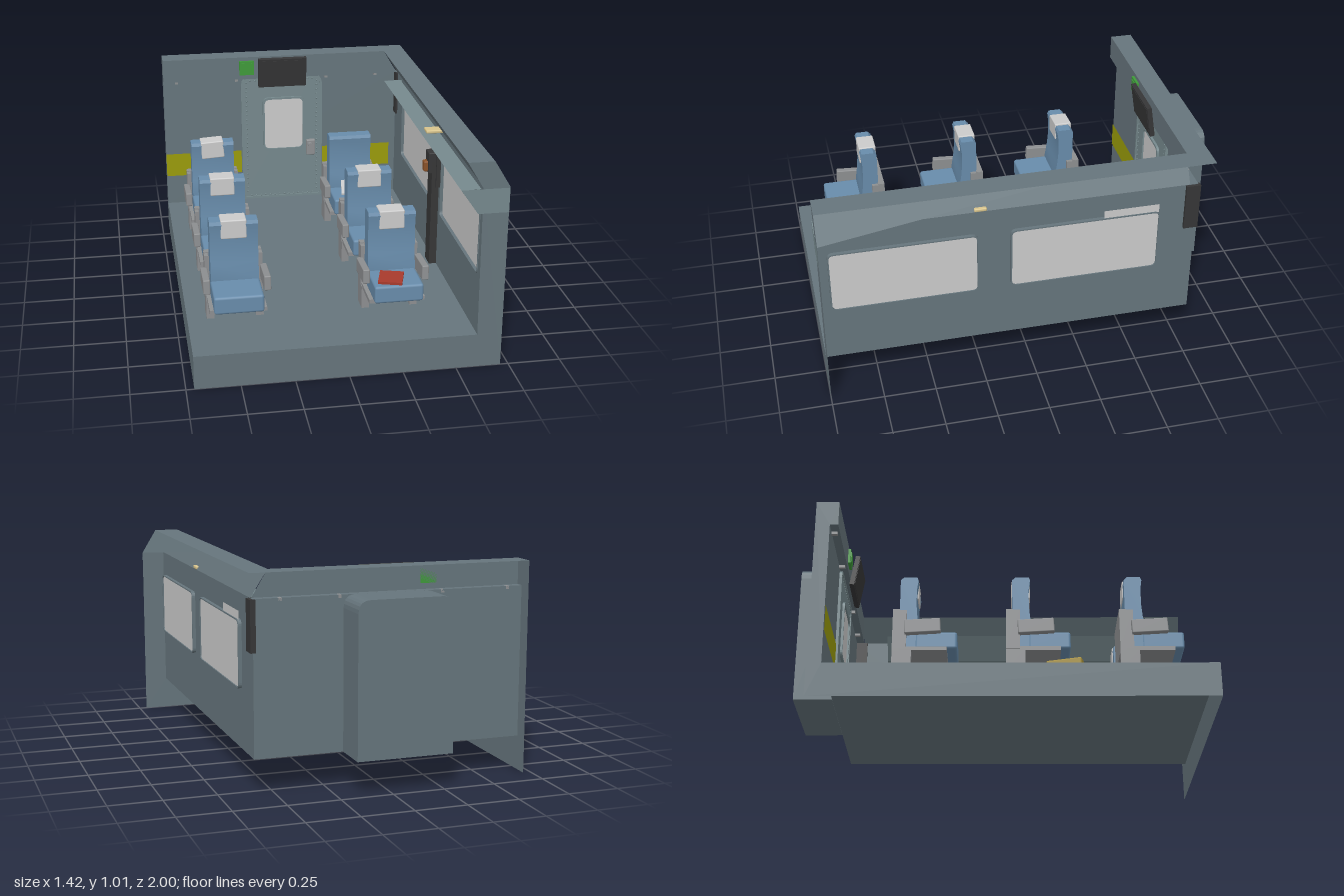
import * as THREE from 'three';
import { RoundedBoxGeometry } from 'three/addons/geometries/RoundedBoxGeometry.js';
import { mergeVertices, toCreasedNormals } from 'three/addons/utils/BufferGeometryUtils.js';

const mat = (color) => new THREE.MeshStandardMaterial({ color, side: THREE.DoubleSide });
const M = {
  shell: mat(0x66757c), panel: mat(0x76898d), grey: mat(0x8d8f91), blue: mat(0x688cab),
  white: mat(0xcccccc), black: mat(0x363637), yellow: mat(0x9a9c0a), bag: mat(0xa8913a),
  red: mat(0xa83a2c), green: mat(0x3f9a3a), tan: mat(0xd8c48c), orange: mat(0x8a5228),
};
const WALL = 0.595; // inner face of the side wall
const BACK = -0.81; // inner face of the back wall

function mesh(parent, name, geo, m, x = 0, y = 0, z = 0) {
  const o = new THREE.Mesh(geo, m);
  o.name = name;
  o.position.set(x, y, z);
  parent.add(o);
  return o;
}

// Box given by its limits on each axis
function box(parent, name, m, x0, x1, y0, y1, z0, z1, r = 0) {
  const s = [x1 - x0, y1 - y0, z1 - z0];
  const geo = r ? new RoundedBoxGeometry(...s, 2, r) : new THREE.BoxGeometry(...s);
  return mesh(parent, name, geo, m, (x0 + x1) / 2, (y0 + y1) / 2, (z0 + z1) / 2);
}

const poly = (pts) => new THREE.Shape(pts.map((p) => new THREE.Vector2(...p)));

// Rounded rectangle; rb is the radius of the bottom corners
function roundRect(x0, x1, y0, y1, r, rb = r, C = THREE.Shape) {
  const s = new C();
  s.moveTo(x0 + rb, y0).lineTo(x1 - rb, y0);
  if (rb) s.quadraticCurveTo(x1, y0, x1, y0 + rb);
  s.lineTo(x1, y1 - r).quadraticCurveTo(x1, y1, x1 - r, y1);
  s.lineTo(x0 + r, y1).quadraticCurveTo(x0, y1, x0, y1 - r);
  s.lineTo(x0, y0 + rb);
  if (rb) s.quadraticCurveTo(x0, y0, x0 + rb, y0);
  return s;
}

// Moves every vertex by a rule (x, y, z) -> [x, y, z]
function remap(geo, rule) {
  const p = geo.attributes.position;
  for (let i = 0; i < p.count; i++) p.setXYZ(i, ...rule(p.getX(i), p.getY(i), p.getZ(i)));
  geo.computeVertexNormals();
  return geo;
}

const extrude = (shape, depth) => new THREE.ExtrudeGeometry(shape, { depth, bevelEnabled: false, curveSegments: 6 });

// Surface swept along z from an (x, y) profile
function sweep(parent, name, m, pts, z0, z1) {
  const v = [], idx = [];
  pts.forEach(([x, y], i) => {
    v.push(x, y, z0, x, y, z1);
    if (i) idx.push(2 * i - 2, 2 * i - 1, 2 * i, 2 * i, 2 * i - 1, 2 * i + 1);
  });
  const g = new THREE.BufferGeometry();
  g.setAttribute('position', new THREE.Float32BufferAttribute(v, 3));
  g.setIndex(idx);
  return mesh(parent, name, toCreasedNormals(g, 0.3), m);
}

// Places a (z, y) drawing on the side wall
const onWall = (offset) => (u, v, w) => [WALL + offset + w, v, u];

function buildShell(g) {
  const flat = (name, shape, rule, m = M.shell) =>
    mesh(g, name, remap(new THREE.ShapeGeometry(shape, 6), rule), m);

  flat('floor', poly([[-0.712, BACK], [WALL, BACK], [WALL, 1], [-0.712, 1]]), (x, y) => [x, 0.165, y]);

  // Flat section faces around the cutaway
  flat('frontSection', poly([[-0.712, 0], [0.712, 0], [0.712, 0.892], [0.637, 1.015], [0.515, 1.015],
    [0.59, 0.89], [WALL, 0.165], [-0.712, 0.165]]), (x, y) => [x, y, 1]);
  flat('sideSection', poly([[1, 0], [1, 0.165], [BACK, 0.165], [BACK, 0.89], [-0.77, 0.89],
    [-0.77, 1.015], [-0.88, 1.015], [-0.88, 0]]), (u, v) => [-0.712, v, u]);
  flat('topSection', poly([[-0.712, -0.88], [0.63, -0.88], [0.637, 1], [0.515, 1], [0.515, -0.77], [-0.712, -0.77]]),
    (x, y) => [x, 1.015, y]);
  flat('outerFlare', poly([[0.63, -0.08], [0.637, 1], [0.712, 1]]),
    (x, z) => [x, x > 0.7 ? 0.892 : 1.015, z]);

  // Back wall, header and the door housing behind them
  flat('backWall', poly([[-0.712, 0.165], [WALL, 0.165], [WALL, 0.89], [-0.712, 0.89]]), (x, y) => [x, y, BACK]);
  flat('headerLedge', poly([[-0.712, BACK], [WALL, BACK], [WALL, -0.77], [-0.712, -0.77]]), (x, y) => [x, 0.89, y]);
  flat('header', poly([[-0.712, 0.89], [0.59, 0.89], [0.515, 1.015], [-0.712, 1.015]]), (x, y) => [x, y, -0.77]);
  mesh(g, 'doorHousing', extrude(roundRect(-0.288, 0.173, 0.165, 0.89, 0.06, 0), BACK + 0.999), M.shell, 0, 0, -1);
  for (const [a, b] of [[-0.712, -0.288], [0.173, 0.56]])
    flat('yellowStripe', poly([[a, 0.33], [b, 0.33], [b, 0.46], [a, 0.46]]), (x, y) => [x, y, BACK + 0.004], M.yellow);

  // Side wall with two recessed windows
  const wall = poly([[1, 0.165], [1, 0.89], [BACK, 0.89], [BACK, 0.165]]);
  for (const [a, b] of [[0.255, 0.955], [-0.625, 0.1]]) {
    wall.holes.push(roundRect(a, b, 0.448, 0.77, 0.03, 0.03, THREE.Path));
    const rim = roundRect(a, b, 0.448, 0.77, 0.03);
    rim.holes.push(roundRect(a + 0.006, b - 0.006, 0.455, 0.764, 0.025, 0.025, THREE.Path));
    mesh(g, 'windowFrame', remap(extrude(rim, 0.022), onWall(-0.004)), M.shell);
    flat('windowPane', roundRect(a + 0.003, b - 0.003, 0.451, 0.767, 0.03), onWall(0.012), M.white);
  }
  flat('sideWall', wall, onWall(0));
  flat('windowBlind', poly([[-0.62, 0.765], [-0.35, 0.765], [-0.35, 0.81], [-0.62, 0.81]]), onWall(0.013), M.white);

  // Overhead trim and the sloping panel above it
  sweep(g, 'overheadTrim', M.panel, [[0.59, 0.77], [0.57, 0.77], [0.49, 0.885], [0.58, 0.888]], -0.63, 1);
  flat('trimEndFront', poly([[0.57, 0.77], [0.712, 0.77], [0.712, 0.887], [0.49, 0.887]]), (x, y) => [x, y, 1.002], M.panel);
  flat('trimEndBack', poly([[0.59, 0.77], [0.57, 0.77], [0.49, 0.887], [0.59, 0.887]]), (x, y) => [x, y, -0.63], M.panel);
  sweep(g, 'overheadPanel', M.shell, [[WALL, 0.89], [0.515, 1.015]], -0.77, 1);
}

function buildDoor(g) {
  const d = new THREE.Group();
  d.name = 'door';
  d.position.z = BACK;
  g.add(d);
  const frame = roundRect(-0.285, 0.17, 0.167, 0.888, 0.05, 0.01);
  frame.holes.push(roundRect(-0.272, 0.157, 0.18, 0.876, 0.045, 0.01, THREE.Path));
  mesh(d, 'doorFrame', extrude(frame, 0.014), M.panel);
  mesh(d, 'doorLeaf', extrude(roundRect(-0.272, 0.157, 0.18, 0.876, 0.045, 0.01), 0.008), M.panel);
  const rim = roundRect(-0.165, 0.07, 0.455, 0.768, 0.035);
  rim.holes.push(roundRect(-0.155, 0.06, 0.467, 0.757, 0.03, 0.03, THREE.Path));
  mesh(d, 'doorWindowFrame', extrude(rim, 0.018), M.panel, 0, 0, 0.002);
  mesh(d, 'doorWindow', extrude(roundRect(-0.155, 0.06, 0.467, 0.757, 0.03), 0.004), M.white, 0, 0, 0.008);
  // Rivets run around the leaf
  const rivet = new THREE.SphereGeometry(0.005, 6, 4);
  for (let y = 0.21; y < 0.86; y += 0.027)
    for (const x of [-0.255, 0.14]) mesh(d, 'rivet', rivet, M.panel, x, y, 0.008);
  for (let x = -0.235; x < 0.13; x += 0.027)
    for (const y of [0.185, 0.868]) mesh(d, 'rivet', rivet, M.panel, x, y, 0.008);
  box(d, 'handlePlate', M.grey, 0.08, 0.13, 0.42, 0.51, 0.005, 0.03, 0.006);
  const knob = mesh(d, 'handleKnob', new THREE.CylinderGeometry(0.014, 0.014, 0.03, 12), M.grey, 0.1, 0.485, 0.04);
  knob.rotation.x = Math.PI / 2;
}

function buildFittings(g) {
  // Tilted screen with a thin bezel
  const screen = new THREE.Group();
  screen.name = 'screen';
  screen.position.set(-0.06, 0.93, -0.745);
  screen.rotation.x = 0.16;
  g.add(screen);
  box(screen, 'screenCase', M.black, -0.132, 0.132, -0.083, 0.083, -0.012, 0.012);
  box(screen, 'screenFace', M.black, -0.122, 0.122, -0.073, 0.073, 0.012, 0.014);

  box(g, 'exitSign', M.green, -0.295, -0.215, 0.917, 0.995, -0.77, -0.757);
  box(g, 'exitSignFace', M.green, -0.284, -0.226, 0.928, 0.984, -0.757, -0.753);
  for (const x of [-0.64, -0.31, 0.19, 0.47]) box(g, 'headerBolt', M.grey, x - 0.008, x + 0.008, 0.875, 0.89, BACK, BACK + 0.03);
  box(g, 'speaker', M.black, 0.585, 0.61, 0.65, 0.888, -0.82, -0.75);
  box(g, 'ceilingLamp', M.tan, 0.51, 0.6, 0.891, 0.908, 0.21, 0.27, 0.006);
  // Pillar between the windows with a small unit on it
  box(g, 'pillar', M.black, 0.557, 0.594, 0.167, 0.72, 0.14, 0.22);
  box(g, 'wallUnit', M.black, 0.54, 0.594, 0.66, 0.77, 0.15, 0.22, 0.005);
  box(g, 'wallUnitGrip', M.orange, 0.52, 0.555, 0.665, 0.72, 0.16, 0.2, 0.008);
  box(g, 'pillarStrip', M.black, 0.57, 0.594, 0.6, 0.768, 0.248, 0.259);
  box(g, 'bag', M.bag, -0.575, -0.475, 0.164, 0.25, 0.225, 0.395, 0.008).rotation.y = -0.28;
  box(g, 'book', M.red, 0.175, 0.287, 0.376, 0.388, 0.725, 0.85).rotation.y = -0.29;
}

// Seat origin is on the floor plane, at the middle of the upholstery
function buildSeat() {
  const s = new THREE.Group();
  s.name = 'seat';
  const back = poly([[-0.13, 0.3], [-0.05, 0.3], [-0.04, 0.38], [-0.052, 0.46], [-0.057, 0.52], [-0.057, 0.6],
    [-0.05, 0.65], [-0.057, 0.666], [-0.12, 0.666], [-0.135, 0.65], [-0.135, 0.5]]);
  const geo = mergeVertices(extrude(back, 0.224).deleteAttribute('normal').deleteAttribute('uv'), 1e-4);
  mesh(s, 'backrest', toCreasedNormals(remap(geo, (z, y, x) => [x - 0.112, y, z]), 0.5), M.blue);
  box(s, 'cushion', M.blue, -0.115, 0.115, 0.29, 0.376, -0.06, 0.137, 0.012);
  box(s, 'backShell', M.grey, -0.135, 0.135, 0.27, 0.485, -0.165, -0.132);
  box(s, 'seatPan', M.grey, -0.132, 0.132, 0.272, 0.292, -0.165, 0.09);
  for (const k of [-1, 1]) {
    const arm = box(s, 'armrest', M.grey, k * 0.14 - 0.016, k * 0.14 + 0.016, 0.355, 0.425, -0.11, 0.06, 0.005);
    arm.rotation.x = -0.06;
    box(s, 'armPost', M.grey, k * 0.127 - 0.009, k * 0.127 + 0.009, 0.28, 0.48, -0.165, -0.1);
    box(s, 'leg', M.grey, k * 0.117 - 0.018, k * 0.117 + 0.018, 0.167, 0.28, -0.165, -0.075);
  }
  return s;
}

export function createModel() {
  const g = new THREE.Group();
  g.name = 'cabin';
  buildShell(g);
  buildDoor(g);
  buildFittings(g);
  for (const x of [-0.485, 0.255])
    for (let row = 0; row < 3; row++) {
      const seat = buildSeat();
      seat.position.set(x, 0, (x > 0 ? -0.33 : -0.337) + row * 0.53);
      g.add(seat);
      // One rear cover has slipped down onto the cushion, the other hangs crooked
      if (row === 0 && x > 0) {
        box(seat, 'slippedCover', M.white, -0.06, 0.06, 0.395, 0.403, -0.045, 0.095).rotation.set(0.2, -0.15, 0);
        continue;
      }
      const cover = box(seat, 'headCover', M.white, -0.06, 0.06, 0.58, 0.672, -0.139, -0.05, 0.006);
      if (row === 0) cover.rotation.z = 0.06;
    }
  return g;
}
